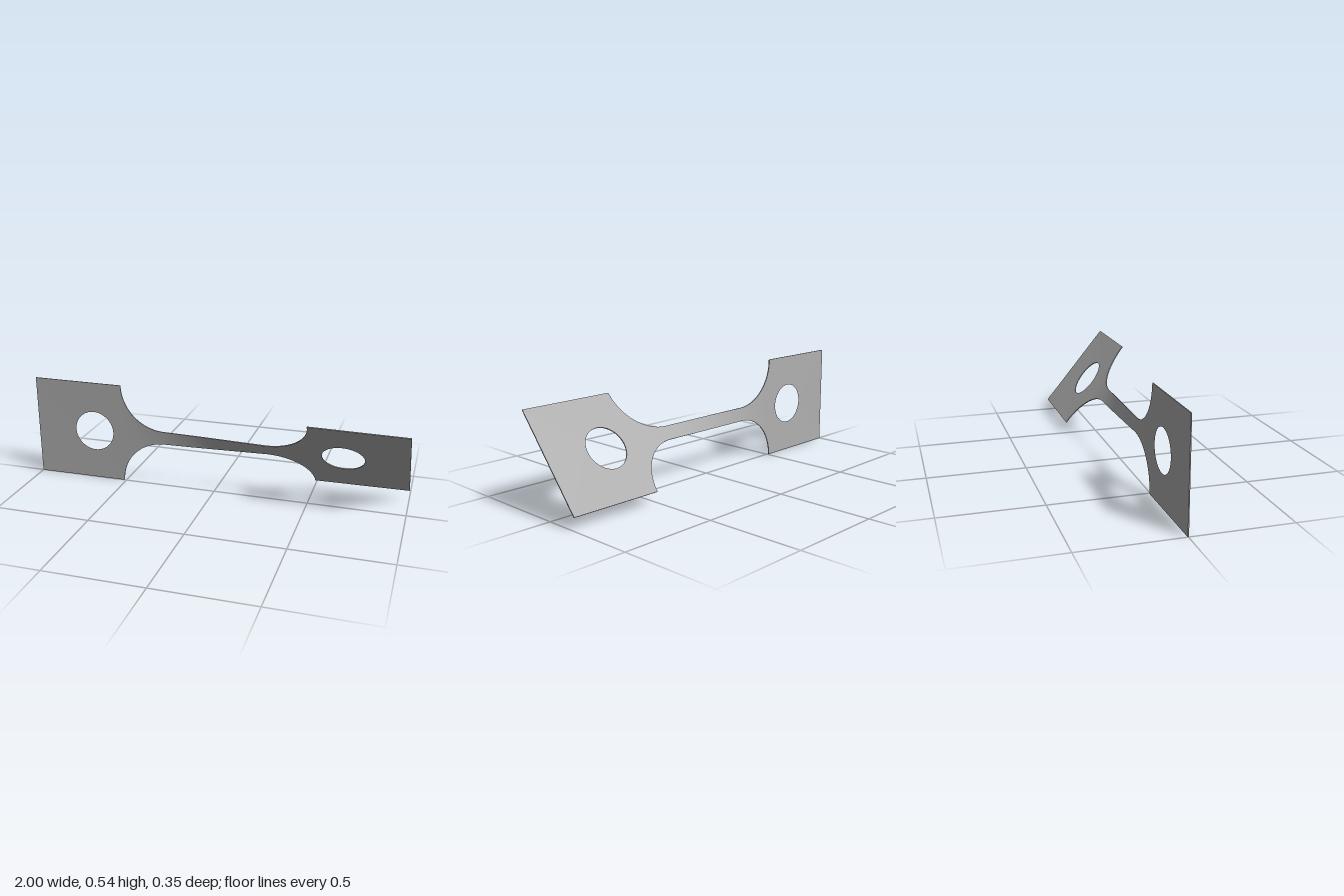
import * as THREE from 'three';

const HALF_HEIGHT = 0.271;   // half width of the end plates
const NECK = 0.036;          // half width of the neck
const NECK_END = 0.275;      // x where the fillets begin
const R = HALF_HEIGHT - NECK; // fillet radius
const PLATE_START = NECK_END + R;
const THICK = 0.005;

// Twist angle along the bar: nearly rigid ends, smooth twist between them
function twist(x) {
  const s = THREE.MathUtils.smoothstep(x, -PLATE_START, PLATE_START);
  const drift = Math.max(0, Math.abs(x) - PLATE_START) / (1 - PLATE_START);
  const end = x < 0 ? 0.8 * (1 - drift) : 0.8 + drift;
  return THREE.MathUtils.degToRad(37.8 * s + (Math.abs(x) < PLATE_START ? 0.8 : end));
}

// Turn every vertex about the bar's long axis and lift it onto the ground
function applyTwist(geometry) {
  const p = geometry.attributes.position;
  for (let i = 0; i < p.count; i++) {
    const x = p.getX(i), y = p.getY(i), z = p.getZ(i);
    const c = Math.cos(twist(x)), s = Math.sin(twist(x));
    p.setXYZ(i, x, HALF_HEIGHT + y * c - z * s, y * s + z * c);
  }
  geometry.computeVertexNormals();
  return geometry;
}

// Neck with circular fillets, from a box whose columns follow the outline
function neckGeometry() {
  const g = new THREE.BoxGeometry(64, 2, THICK, 64, 8, 1);
  const p = g.attributes.position;
  for (let i = 0; i < p.count; i++) {
    const k = p.getX(i);
    const a = Math.max(0, Math.abs(k) - 16) / 16 * Math.PI / 2;
    const x = Math.min(Math.abs(k), 16) / 16 * NECK_END + R * Math.sin(a);
    const half = NECK + R * (1 - Math.cos(a));
    p.setX(i, Math.sign(k) * x);
    p.setY(i, p.getY(i) * half);
  }
  return applyTwist(g);
}

// Flat end plate with a round hole
function plateGeometry(side) {
  const inner = side * PLATE_START, outer = side;
  const shape = new THREE.Shape([
    new THREE.Vector2(inner, -HALF_HEIGHT), new THREE.Vector2(outer, -HALF_HEIGHT),
    new THREE.Vector2(outer, HALF_HEIGHT), new THREE.Vector2(inner, HALF_HEIGHT),
  ]);
  const hole = new THREE.Path();
  hole.absarc(side * 0.671, 0, 0.108, 0, Math.PI * 2, true);
  shape.holes.push(hole);
  const g = new THREE.ExtrudeGeometry(shape, { depth: THICK, bevelEnabled: false, curveSegments: 32 });
  g.translate(0, 0, -THICK / 2);
  return applyTwist(g);
}

export function createModel() {
  const group = new THREE.Group();
  group.name = 'twistedTestBar';
  const steel = new THREE.MeshStandardMaterial({ color: 0xb0b0b0 });
  steel.name = 'greySteel';

  const add = (name, geometry) => {
    const mesh = new THREE.Mesh(geometry, steel);
    mesh.name = name;
    group.add(mesh);
  };
  add('neck', neckGeometry());
  add('leftEndPlate', plateGeometry(1));
  add('rightEndPlate', plateGeometry(-1));
  return group;
}
